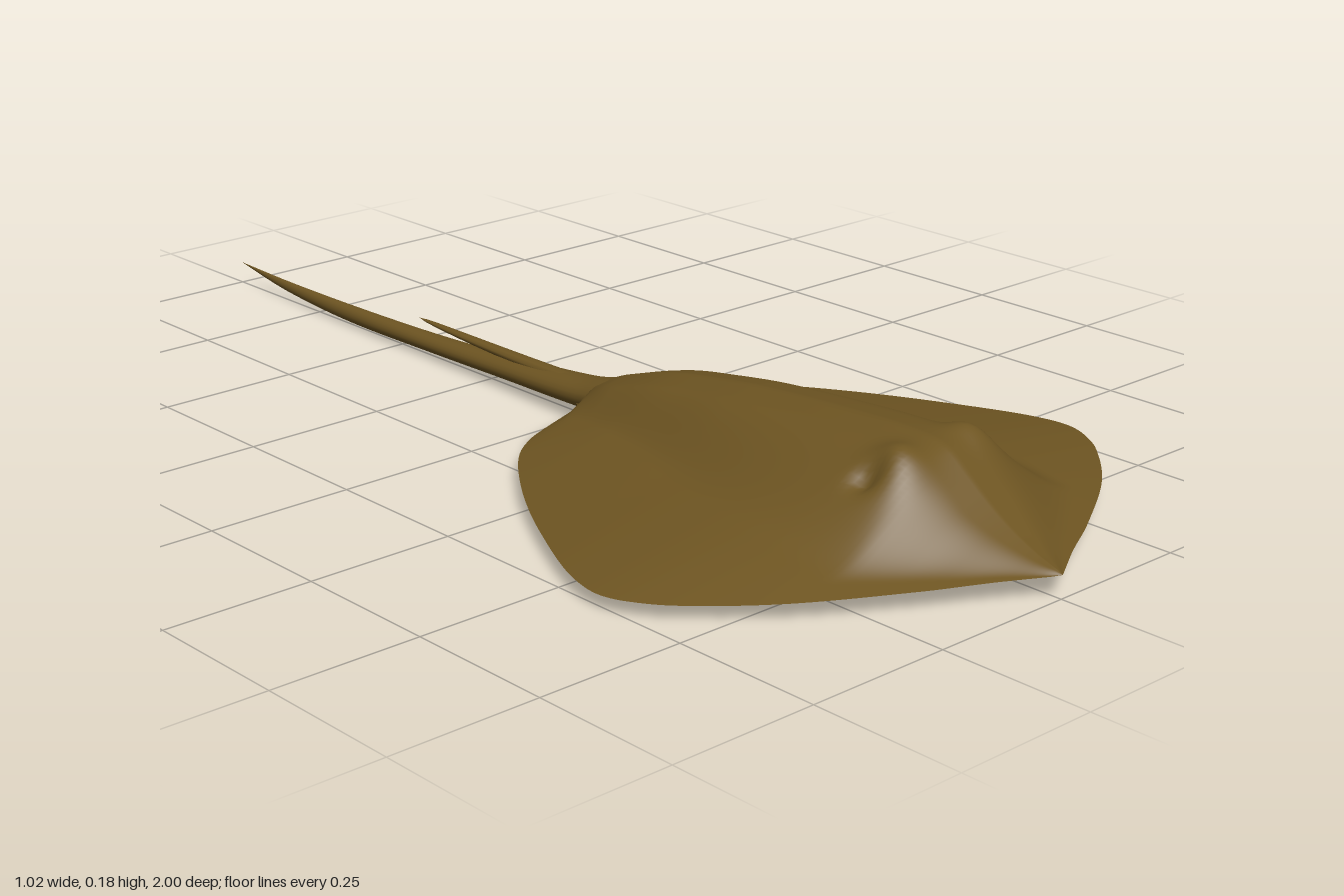
import * as THREE from 'three';

const skin = new THREE.MeshStandardMaterial({ color: 0x6e5522 });
skin.name = 'olive brown skin';
const rimSkin = new THREE.MeshStandardMaterial({ color: 0xcb8740 });
rimSkin.name = 'rust brown rim';
const bellySkin = new THREE.MeshStandardMaterial({ color: 0xc9b5ae });
bellySkin.name = 'pale grey belly';

const { lerp, clamp, smoothstep } = THREE.MathUtils;

// Smooth curve through [z, value] pairs sorted by z
function profile(pts) {
  const n = pts.length;
  const slope = i => {
    const a = pts[Math.max(i - 1, 0)], b = pts[Math.min(i + 1, n - 1)];
    return (b[1] - a[1]) / (b[0] - a[0]);
  };
  return z => {
    let i = 0;
    while (i < n - 2 && z > pts[i + 1][0]) i++;
    const [z0, a] = pts[i], [z1, b] = pts[i + 1], d = z1 - z0;
    const t = clamp((z - z0) / d, 0, 1), t2 = t * t, t3 = t2 * t;
    return (2 * t3 - 3 * t2 + 1) * a + (t3 - 2 * t2 + t) * d * slope(i)
      + (3 * t2 - 2 * t3) * b + (t3 - t2) * d * slope(i + 1);
  };
}

// Smooth grid surface; its front is along (u direction) x (v direction)
function surface(nu, nv, fn) {
  const pos = [], idx = [];
  for (let j = 0; j <= nv; j++)
    for (let i = 0; i <= nu; i++) pos.push(...fn(i / nu, j / nv));
  for (let j = 0; j < nv; j++)
    for (let i = 0; i < nu; i++) {
      const a = j * (nu + 1) + i, b = a + nu + 1;
      idx.push(a, a + 1, b, a + 1, b + 1, b);
    }
  const g = new THREE.BufferGeometry();
  g.setAttribute('position', new THREE.Float32BufferAttribute(pos, 3));
  g.setIndex(idx);
  g.computeVertexNormals();
  return g;
}

function add(parent, name, geometry, material) {
  const m = new THREE.Mesh(geometry, material);
  m.name = name;
  parent.add(m);
}

// Disc outline, ridge height, wing rise and belly share of the width
const halfWidth = profile([[0, 0.035], [0.03, 0.05], [0.05, 0.11], [0.08, 0.19], [0.12, 0.25], [0.2, 0.318],
  [0.3, 0.385], [0.4, 0.44], [0.5, 0.488], [0.56, 0.507], [0.6, 0.51], [0.64, 0.497], [0.7, 0.455],
  [0.8, 0.342], [0.9, 0.18], [0.95, 0.085], [1, 0]]);
const ridge = profile([[0, 0.068], [0.05, 0.08], [0.1, 0.1], [0.2, 0.13], [0.3, 0.147], [0.4, 0.16], [0.6, 0.174],
  [0.72, 0.177], [0.78, 0.168], [0.82, 0.139], [0.86, 0.108], [0.9, 0.082], [0.95, 0.057], [1, 0.04]]);
const wing = profile([[0, 0.018], [0.1, 0.035], [0.2, 0.054], [0.4, 0.07], [0.6, 0.08], [0.75, 0.067],
  [0.9, 0.025], [0.95, 0.012], [1, 0.002]]);
const bellyShare = profile([[0.07, 0.45], [0.11, 0.55], [0.2, 0.65], [0.3, 0.72], [0.4, 0.77], [0.6, 0.77],
  [0.8, 0.85], [0.98, 0.98]]);
const bump = (x, z, cx, cz, r) => Math.exp(-((x - cx) ** 2 + (z - cz) ** 2) / (r * r));
// The disc's rim arches down from its middle to the wing tips
const rimY = x => 0.037 - 0.024 * Math.abs(x);

function backPoint(u, v) {
  const z = 1 - v, w = halfWidth(z), x = (2 * u - 1) * w, ax = Math.abs(x);
  const e = rimY(w), rise = wing(z);
  const hi = Math.min(0.12 + 0.15 * smoothstep(z, 0.05, 0.75), 0.8 * w + 0.001);
  const hump = 1 - smoothstep(ax, Math.min(0.05, 0.2 * w), hi);
  const slope = w > 0 ? 1 - ax / w : 0;
  // raised brows and hollows beside them
  const detail = 0.02 * bump(ax, z, 0.085, 0.755, 0.04) - 0.022 * bump(ax, z, 0.118, 0.735, 0.02);
  return [x, e + rise * slope + Math.max(ridge(z) - e - rise, 0) * hump + detail, z];
}

// Underside strip between two shares of the half width, facing down
function underside(from, to, nu) {
  return surface(nu, 70, (u, v) => {
    const z = 1 - v, s = lerp(from(z), to(z), u), x = s * halfWidth(z);
    const sag = 0.013 * (1 - smoothstep(Math.abs(x), 0.14, 0.26)) * (1 - s * s) * smoothstep(v, 0, 0.15);
    return [x, lerp(rimY(x), rimY(halfWidth(z)), s * s) - sag, z];
  });
}

function buildDisc(model) {
  const disc = new THREE.Group();
  disc.name = 'bodyDisc';
  add(disc, 'back', surface(96, 110, backPoint), skin);
  add(disc, 'belly', underside(bellyShare, z => -bellyShare(z), 24), bellySkin);
  add(disc, 'leftRim', underside(() => 1, bellyShare, 6), rimSkin);
  add(disc, 'rightRim', underside(z => -bellyShare(z), () => -1, 6), rimSkin);
  // mouth: a shallow curved lip
  const lip = new THREE.QuadraticBezierCurve3(new THREE.Vector3(-0.06, 0.024, 0.79),
    new THREE.Vector3(0, 0.025, 0.83), new THREE.Vector3(0.06, 0.024, 0.79));
  add(disc, 'mouth', new THREE.TubeGeometry(lip, 16, 0.004, 6), bellySkin);
  model.add(disc);
}

// Tapering whip tail, round in section
function buildTail(model) {
  const w = profile([[-1, 0], [-0.85, 0.007], [-0.65, 0.014], [-0.4, 0.021], [-0.2, 0.029], [0, 0.041], [0.08, 0.046]]);
  const top = profile([[-1, 0.041], [-0.85, 0.037], [-0.65, 0.037], [-0.4, 0.042], [-0.2, 0.053], [0, 0.07], [0.08, 0.088]]);
  const low = profile([[-1, 0.041], [-0.85, 0.018], [-0.65, 0.006], [-0.4, 0.009], [-0.2, 0.014], [0, 0.019], [0.08, 0.025]]);
  add(model, 'tail', surface(20, 48, (u, v) => {
    const z = 0.08 - 1.08 * v, a = (2 * u - 1) * Math.PI;
    const mid = (top(z) + low(z)) / 2, h = (top(z) - low(z)) / 2;
    return [Math.sin(a) * w(z), mid + Math.cos(a) * h, z];
  }), skin);
  // barb lying along the tail and lifting off at its tip
  add(model, 'tailBarb', surface(10, 20, (u, v) => {
    const z = -0.02 - 0.43 * v, a = (2 * u - 1) * Math.PI, r = Math.sqrt(1 - v);
    return [Math.sin(a) * 0.017 * r, 0.054 + 0.009 * v * v + Math.cos(a) * 0.011 * r, z];
  }), skin);
}

// Drooping rounded fin beside the tail root: t runs outward, s runs forward
function finPoint(side, t, s, upper) {
  const back = 0.015 + 0.045 * t ** 3 + 0.02 * t ** 12;
  const front = 0.15 - 0.045 * t ** 4;
  const low = 0.022 - 0.021 * Math.sin(Math.min(t * 1.15, 1) * Math.PI / 2);
  const lift = upper ? 0.006 + 0.018 * s : 0.018 * smoothstep(s, 0.65, 1);
  return [side * (0.03 + 0.17 * t), low + lift, lerp(back, front, s)];
}

function buildFins(model) {
  for (const side of [1, -1]) {
    const fin = new THREE.Group();
    fin.name = side > 0 ? 'leftPelvicFin' : 'rightPelvicFin';
    // patch of the fin from t0 to t1 across; sFn gives the forward position
    const patch = (t0, t1, nv, sFn, upperFn) => surface(12, nv, (u, v) =>
      finPoint(side, lerp(t0, t1, side > 0 ? u : 1 - u), sFn(v), upperFn(v)));
    const below = () => false;
    add(fin, 'finTop', patch(0, 1, 8, v => 1 - v, () => true), skin);
    add(fin, 'finUnderside', patch(0, 0.8, 8, v => 0.7 * v, below), bellySkin);
    add(fin, 'finTip', patch(0.8, 1, 8, v => 0.7 * v, below), rimSkin);
    add(fin, 'finFront', patch(0, 1, 6, v => 0.7 + 0.3 * v, below), rimSkin);
    // thin walls closing the rear and outer edges
    add(fin, 'finRearEdge', patch(0, 1, 1, () => 0, v => v < 0.5), skin);
    add(fin, 'finOuterEdge', surface(8, 1, (u, v) =>
      finPoint(side, 1, side > 0 ? 1 - u : u, v > 0.5)), skin);
    model.add(fin);
  }
}

export function createModel() {
  const model = new THREE.Group();
  model.name = 'stingray';
  buildDisc(model);
  buildTail(model);
  buildFins(model);
  return model;
}
